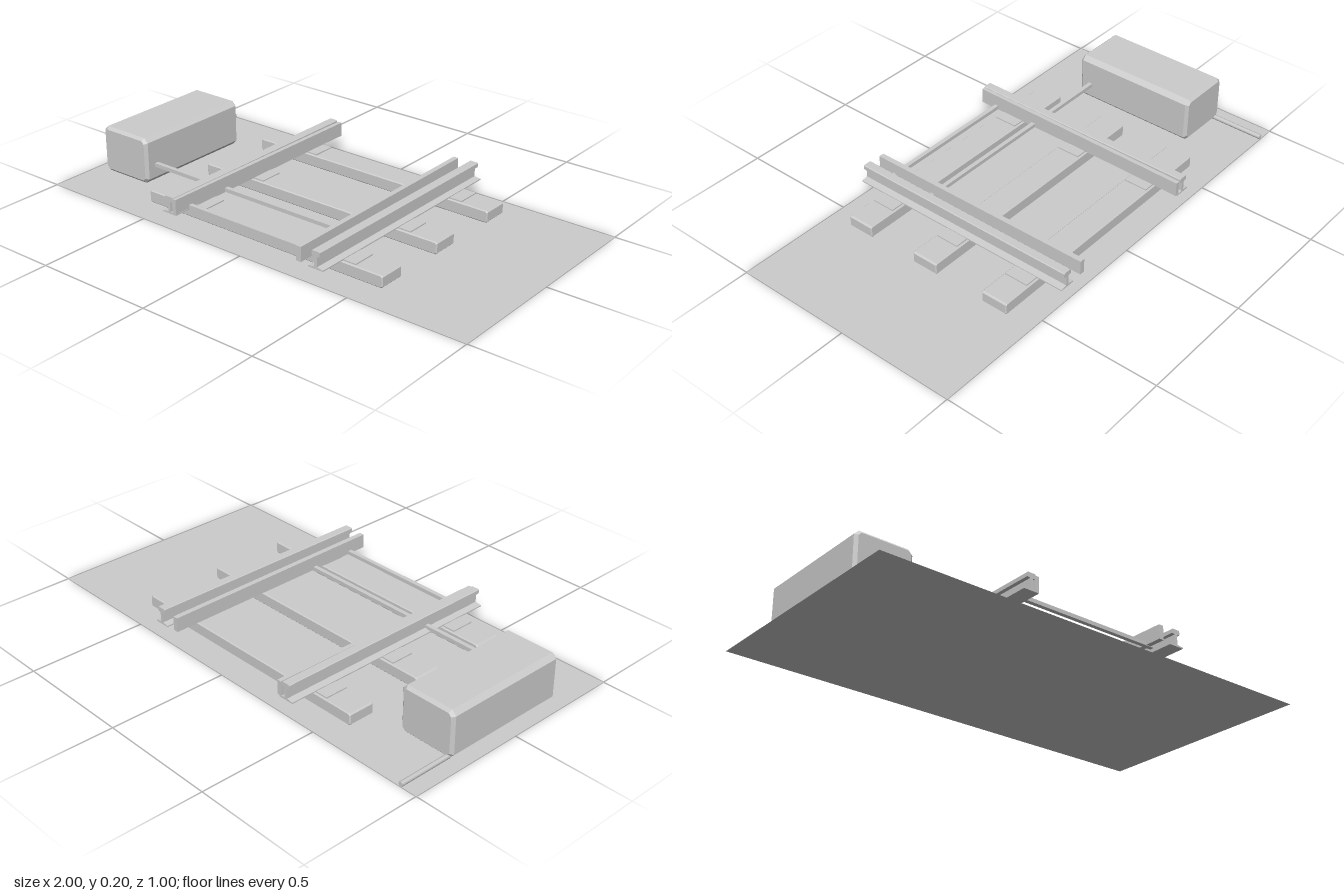
import * as THREE from 'three';

const grey = new THREE.MeshStandardMaterial({ color: 0xcccccc });
grey.name = 'plain grey';
const greySheet = grey.clone();
greySheet.side = THREE.DoubleSide;
greySheet.name = 'plain grey sheet';

function add(parent, name, geometry, x = 0, y = 0, z = 0, material = grey) {
  const mesh = new THREE.Mesh(geometry, material);
  mesh.name = name;
  mesh.position.set(x, y, z);
  parent.add(mesh);
  return mesh;
}

// Box with every edge chamfered by c
function chamferBox(w, h, d, c) {
  const x = w / 2 - c, y = h / 2 - c, k = c;
  const pts = [[-x + k, -y], [x - k, -y], [x, -y + k], [x, y - k], [x - k, y], [-x + k, y], [-x, y - k], [-x, -y + k]];
  const shape = new THREE.Shape(pts.map(p => new THREE.Vector2(...p)));
  const g = new THREE.ExtrudeGeometry(shape, {
    depth: d - 2 * c, bevelEnabled: true, bevelThickness: c, bevelSize: c, bevelSegments: 1,
  });
  return g.translate(0, 0, -d / 2 + c);
}

// Flat-bottomed rail: foot, web and head
function railGeometry() {
  const half = [[0.034, 0.064], [0.034, 0.069], [0.006, 0.073], [0.006, 0.113], [0.019, 0.116], [0.019, 0.132], [0.016, 0.135]];
  const left = half.map(([x, y]) => [-x, y]).reverse();
  const shape = new THREE.Shape([...half, ...left].map(p => new THREE.Vector2(...p)));
  return new THREE.ExtrudeGeometry(shape, { depth: 1, bevelEnabled: false }).translate(0, 0, -0.5);
}

// Switch blade swept straight from its back position to its front position
function bladeGeometry(backX, frontX, width) {
  const g = new THREE.BoxGeometry(width, 0.06, 1);
  const p = g.attributes.position;
  for (let i = 0; i < p.count; i++) {
    p.setX(i, p.getX(i) + THREE.MathUtils.lerp(backX, frontX, p.getZ(i) + 0.5));
  }
  g.computeVertexNormals();
  return g;
}

export function createModel() {
  const model = new THREE.Group();
  model.name = 'railwaySwitch';

  // Ground sheet
  add(model, 'ground', new THREE.PlaneGeometry(2, 1).rotateX(-Math.PI / 2), 0, 0, 0, greySheet);

  // Sleepers with slide plates under each rail
  for (const z of [-0.335, 0.002, 0.333]) {
    add(model, 'sleeper', chamferBox(1.145, 0.051, 0.115, 0.004), -0.002, 0.0355, z);
    for (const s of [-1, 1]) {
      add(model, 'slidePlate', new THREE.BoxGeometry(0.17, 0.006, 0.1), s * 0.362, 0.063, z);
    }
  }

  // Stock rails
  for (const s of [-1, 1]) add(model, 'stockRail', railGeometry(), s * 0.358);

  // Moving blades, the left one closed against its rail at the front
  add(model, 'closedBlade', bladeGeometry(-0.323, -0.333, 0.018), 0, 0.1, 0);
  add(model, 'openBlade', bladeGeometry(0.272, 0.28, 0.022), 0, 0.1, 0);

  // Throw rod from the machine, and the stretcher joining the blades
  const rod = (name, x0, x1, z) =>
    add(model, name, new THREE.BoxGeometry(x1 - x0, 0.016, 0.018), (x0 + x1) / 2, 0.076, z);
  rod('throwRod', -0.72, 0.307, 0.22);
  rod('stretcherRod', -0.34, 0.307, 0.42);

  // Switch machine housing
  add(model, 'machineHousing', chamferBox(0.245, 0.198, 0.55, 0.012), -0.828, 0.102, 0);

  // Cable leaving the back of the machine
  add(model, 'cable', new THREE.CylinderGeometry(0.01, 0.01, 0.235, 8).rotateX(Math.PI / 2), -0.928, 0.01, -0.3825);

  return model;
}
